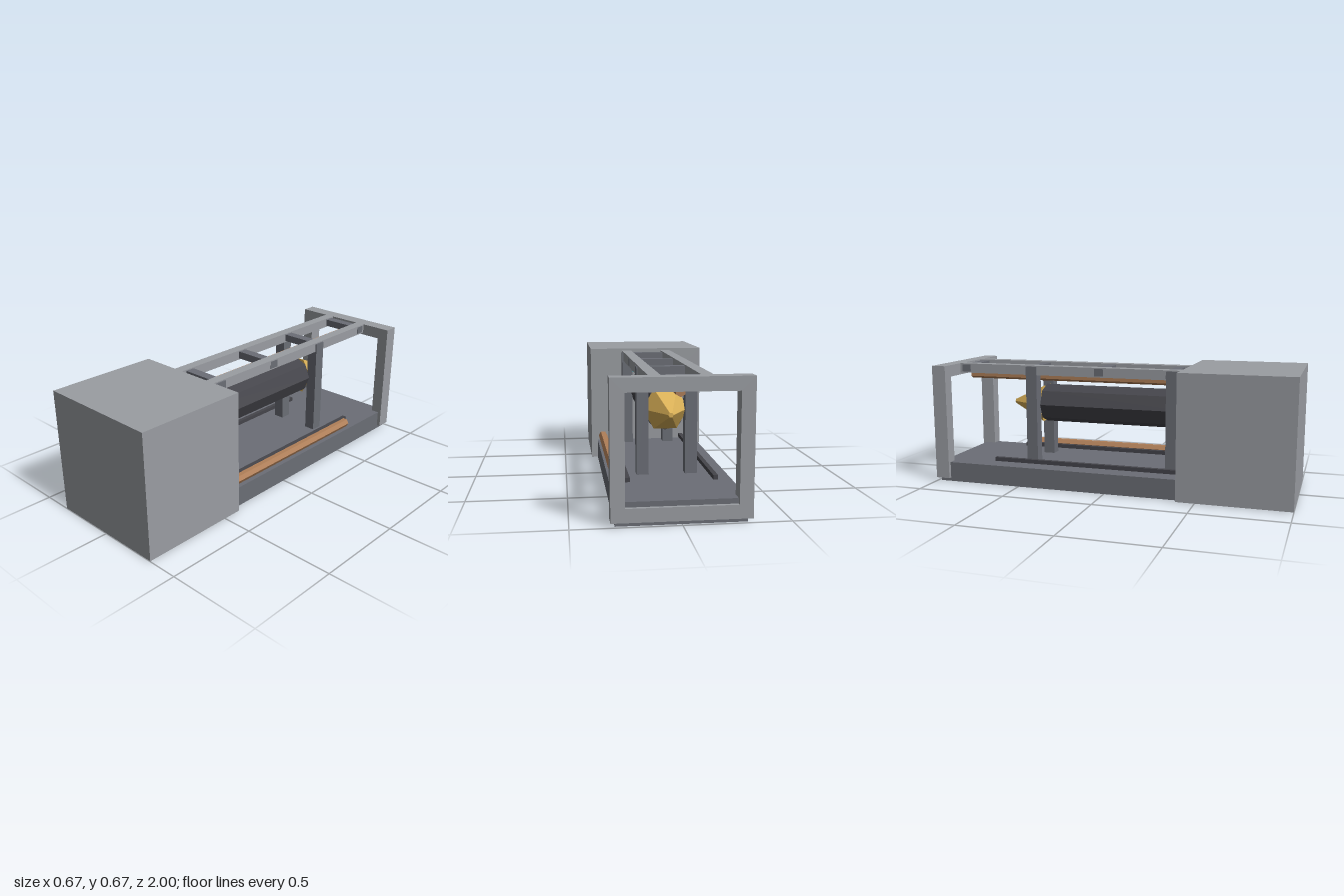
import * as THREE from 'three';

const mat = (color) => new THREE.MeshStandardMaterial({ color, flatShading: true });

export function createModel() {
  const model = new THREE.Group();
  const lightGrey = mat(0x9a9da2);
  const midGrey = mat(0x6b6e76);
  const darkGrey = mat(0x45454b);
  const copper = mat(0xb07f58);
  const gold = mat(0xdcb258);
  const teal = mat(0x4fb8c0);

  function add(name, geometry, material) {
    const mesh = new THREE.Mesh(geometry, material);
    mesh.name = name;
    model.add(mesh);
    return mesh;
  }

  // Box given by its extents along each axis
  function box(name, [x0, x1], [y0, y1], [z0, z1], material) {
    const mesh = add(name, new THREE.BoxGeometry(x1 - x0, y1 - y0, z1 - z0), material);
    mesh.position.set((x0 + x1) / 2, (y0 + y1) / 2, (z0 + z1) / 2);
    return mesh;
  }

  // Prism or cone along z; spin turns its facets about that axis
  function rod(name, rBack, rFront, sides, x, y, [z0, z1], material, spin = 0) {
    const geometry = new THREE.CylinderGeometry(rFront, rBack, z1 - z0, sides);
    geometry.rotateX(Math.PI / 2).rotateZ(spin);
    const mesh = add(name, geometry, material);
    mesh.position.set(x, y, (z0 + z1) / 2);
    return mesh;
  }

  // Floor slab and front housing
  box('base', [-0.3, 0.3], [0, 0.11], [-0.98, 0.98], midGrey);
  box('frontHousing', [-0.336, 0.336], [0.002, 0.672], [0.4, 1], lightGrey);

  // Open rectangular frame at the back
  const frame = new THREE.Shape();
  frame.moveTo(-0.32, 0.02).lineTo(0.32, 0.02).lineTo(0.32, 0.66).lineTo(-0.32, 0.66).closePath();
  const opening = new THREE.Path();
  opening.moveTo(-0.255, 0.085).lineTo(-0.255, 0.595).lineTo(0.255, 0.595).lineTo(0.255, 0.085).closePath();
  frame.holes.push(opening);
  const frameGeometry = new THREE.ExtrudeGeometry(frame, { depth: 0.08, bevelEnabled: false });
  add('backFrame', frameGeometry, lightGrey).position.z = -1;

  // Mirrored top rails, posts and floor strips
  for (const s of [-1, 1]) {
    const span = (a, b) => (s > 0 ? [a, b] : [-b, -a]);
    box('topRail', span(0.09, 0.146), [0.607, 0.66], [-0.92, 0.42], lightGrey);
    box('floorStrip', span(0.203, 0.226), [0.118, 0.14], [-0.675, 0.42], darkGrey);
    for (const z of [-0.475, 0.333]) {
      box('post', span(0.092, 0.153), [0.11, 0.653], [z - 0.032, z + 0.032], midGrey);
    }
  }

  // Crossbars between the rails
  for (const z of [-0.88, -0.48, -0.078, 0.324]) {
    box('crossbar', [-0.148, 0.148], [0.614, 0.654], [z - 0.026, z + 0.026], midGrey);
  }

  // Barrel with its tapered tip and front band
  rod('barrel', 0.108, 0.108, 8, 0, 0.433, [-0.443, 0.45], darkGrey);
  rod('taperedTip', 0.013, 0.117, 6, 0, 0.433, [-0.64, -0.444], gold, Math.PI / 6);
  box('barrelBand', [-0.09, 0.09], [0.53, 0.56], [0.376, 0.392], teal);

  // Copper pipes
  rod('upperPipe', 0.025, 0.025, 6, 0, 0.585, [-0.92, 0.42], copper);
  rod('lowerPipe', 0.026, 0.026, 6, 0.267, 0.138, [-0.61, 0.42], copper, Math.PI / 6);

  return model;
}
